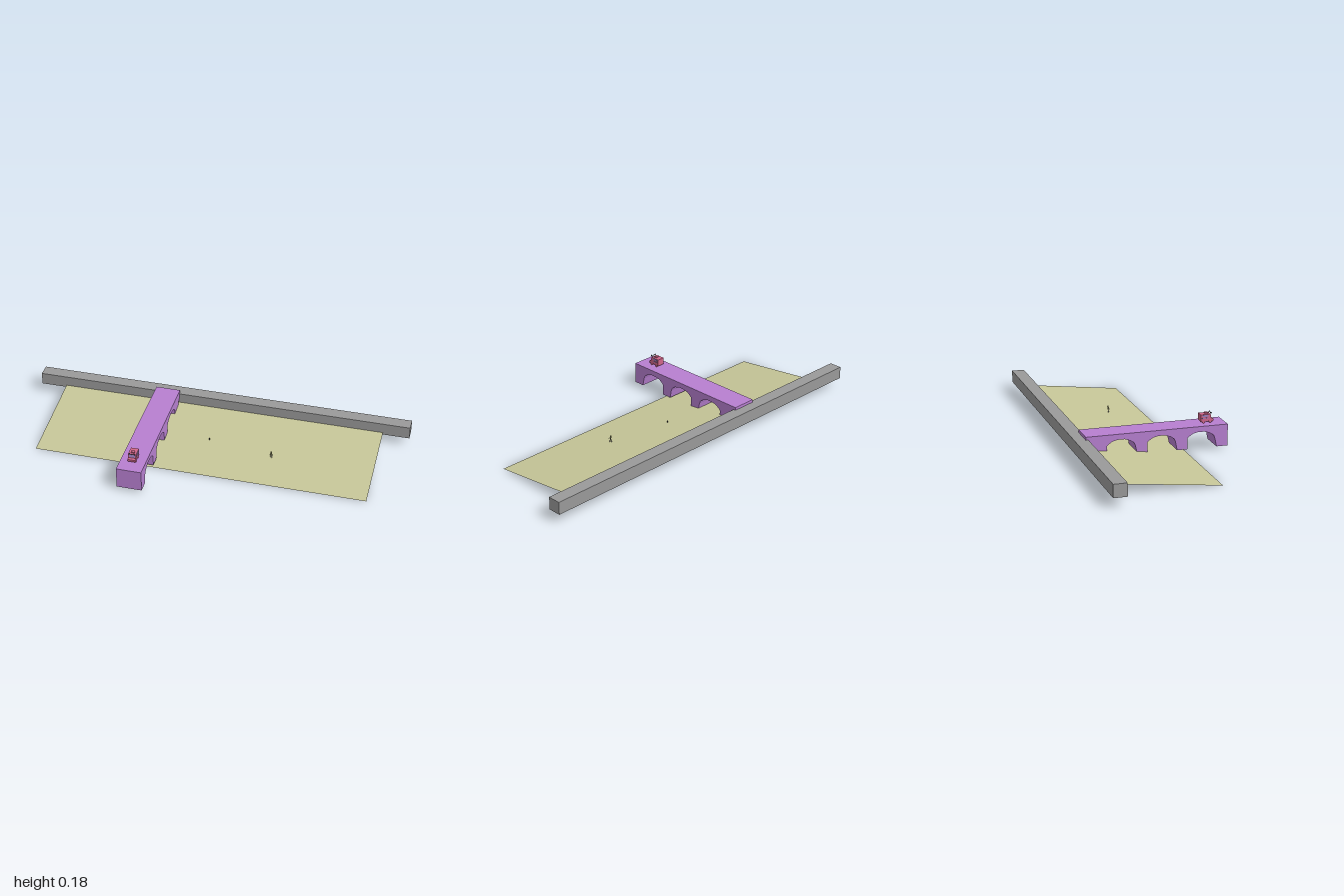
import * as THREE from 'three';

const mat = (name, color, side = THREE.FrontSide) => {
  const m = new THREE.MeshStandardMaterial({ color, side });
  m.name = name;
  return m;
};

export function createModel() {
  const model = new THREE.Group();
  const grey = mat('wall grey', 0x999999);
  const purple = mat('bridge purple', 0xb77fd0);
  const sand = mat('sand', 0xc6c698, THREE.DoubleSide);
  const pink = mat('van pink', 0xd0668a);
  const blue = mat('window blue', 0x9a80c0);
  const dark = mat('dark trim', 0x484848);
  const olive = mat('figure olive', 0x9a9a68);
  const pale = mat('figure pale', 0xc8c4b0);

  const add = (parent, name, geometry, material, x = 0, y = 0, z = 0) => {
    const mesh = new THREE.Mesh(geometry, material);
    mesh.name = name;
    mesh.position.set(x, y, z);
    parent.add(mesh);
    return mesh;
  };
  const box = (parent, name, material, w, h, d, x, y, z) =>
    add(parent, name, new THREE.BoxGeometry(w, h, d), material, x, y, z);
  // Extrudes a [z, y] side profile across x
  const sideProfile = (points, x0, x1) => {
    const shape = new THREE.Shape(points.map(([z, y]) => new THREE.Vector2(z, y)));
    return new THREE.ExtrudeGeometry(shape, { depth: x1 - x0, bevelEnabled: false })
      .rotateY(-Math.PI / 2).translate(x1, 0, 0);
  };
  // Thin rod between two points
  const rod = (parent, name, material, a, b, r) => {
    const p = new THREE.Vector3(...a), q = new THREE.Vector3(...b);
    const mesh = add(parent, name, new THREE.CylinderGeometry(r, r, p.distanceTo(q), 6), material);
    mesh.position.copy(p).add(q).multiplyScalar(0.5);
    mesh.quaternion.setFromUnitVectors(new THREE.Vector3(0, 1, 0), q.sub(p).normalize());
  };

  // Long back wall
  box(model, 'backWall', grey, 2, 0.065, 0.067, 0, 0.0805, -0.3585);

  // Sloping ground sheet, rising toward the wall
  const ground = new THREE.PlaneGeometry(1.724, 0.508);
  ground.rotateX(-Math.PI / 2).translate(0, 0, -0.076);
  const gp = ground.attributes.position;
  const slope = z => 0.06 * (0.178 - z) / 0.508;
  for (let i = 0; i < gp.count; i++) gp.setY(i, slope(gp.getZ(i)));
  ground.computeVertexNormals();
  add(model, 'ground', ground, sand);

  // Bridge with three repeated arches and a cut-off fourth
  const arch = [[0, 0.017], [-0.009, 0.06], [-0.015, 0.076], [-0.034, 0.09], [-0.065, 0.1],
    [-0.1, 0.1], [-0.125, 0.094], [-0.142, 0.083], [-0.153, 0.073], [-0.153, 0.017]];
  const bridge = [[0.392, 0.128], [0.392, 0.017]];
  for (const start of [0.334, 0.128, -0.078]) {
    for (const [z, y] of arch) bridge.push([start + z, y]);
  }
  bridge.push([-0.294, 0.017], [-0.303, 0.06], [-0.309, 0.076], [-0.328, 0.09],
    [-0.338, 0.093], [-0.338, 0.128]);
  add(model, 'bridge', sideProfile(bridge, -0.358, -0.229), purple);

  // Small van driving toward the front
  const van = new THREE.Group();
  van.name = 'van';
  van.position.set(-0.296, 0, 0);
  model.add(van);
  add(van, 'vanBody', sideProfile([[0.265, 0.138], [0.331, 0.138], [0.331, 0.149], [0.32, 0.154],
    [0.316, 0.174], [0.265, 0.174]], -0.02, 0.02), pink);
  box(van, 'roofHatch', pink, 0.018, 0.007, 0.016, 0, 0.177, 0.299);
  for (const s of [-1, 1]) {
    box(van, 'sideWindow', blue, 0.002, 0.009, 0.032, s * 0.0205, 0.167, 0.288);
    box(van, 'sideStripe', blue, 0.002, 0.004, 0.032, s * 0.0205, 0.155, 0.288);
    for (const z of [0.315, 0.28]) {
      const wheel = new THREE.CylinderGeometry(0.007, 0.007, 0.007, 12).rotateZ(Math.PI / 2);
      add(van, 'wheel', wheel, pink, s * 0.0165, 0.136, z);
    }
    rod(van, 'hornMount', dark, [s * 0.011, 0.173, 0.315], [s * 0.011, 0.179, 0.322], 0.0012);
    rod(van, 'horn', dark, [s * 0.011, 0.177, 0.316], [s * 0.014, 0.182, 0.325], 0.0015);
  }
  rod(van, 'hornBar', dark, [-0.016, 0.177, 0.322], [0.016, 0.177, 0.322], 0.0015);
  const screen = box(van, 'windscreen', blue, 0.03, 0.014, 0.001, 0, 0.164, 0.3184);
  screen.rotation.x = -0.2;

  // Small standing figure on the ground
  const figure = new THREE.Group();
  figure.name = 'figure';
  figure.position.set(0.338, 0.0235, -0.02);
  model.add(figure);
  add(figure, 'head', new THREE.SphereGeometry(0.0042, 10, 8), olive, 0, 0.034, -0.002);
  rod(figure, 'torso', olive, [0, 0.017, 0], [0, 0.03, -0.001], 0.0035);
  for (const s of [-1, 1]) {
    rod(figure, 'leg', pale, [s * 0.002, 0.018, 0], [s * 0.004, 0.001, s * 0.003], 0.0017);
    rod(figure, 'arm', dark, [s * 0.003, 0.028, 0], [s * 0.007, 0.019, 0.005], 0.0012);
  }

  // Tiny post in the middle of the ground
  box(model, 'post', dark, 0.004, 0.014, 0.004, -0.002, 0.034, -0.08);

  return model;
}
